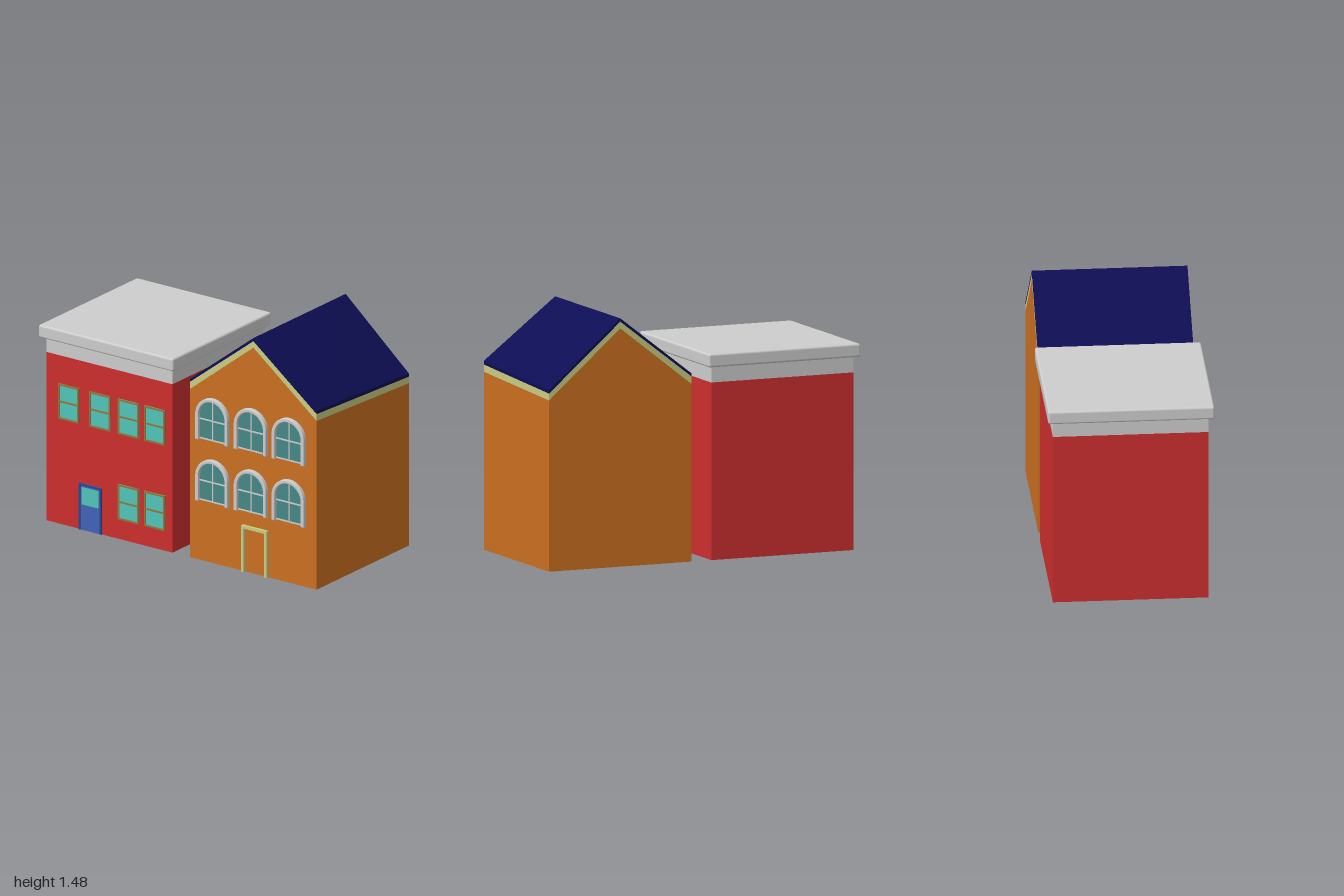
import * as THREE from 'three';
import { RoundedBoxGeometry } from 'three/addons/geometries/RoundedBoxGeometry.js';

const mat = (name, color) => {
  const m = new THREE.MeshStandardMaterial({ color });
  m.name = name;
  return m;
};

export function createModel() {
  const orange = mat('orange wall', 0xcb6f21);
  const red = mat('red wall', 0xcd2e2e);
  const grey = mat('pale grey stone', 0xcdcdcd);
  const cream = mat('khaki trim', 0xc9cc82);
  const navy = mat('navy roof', 0x0d0d54);
  const teal = mat('teal glass', 0x52c4ba);
  const darkTeal = mat('dark teal glass', 0x468888);
  const olive = mat('olive window frame', 0x8f7a3c);
  const blue = mat('blue door', 0x4062b8);
  const darkBlue = mat('dark blue door frame', 0x2c4590);

  const model = new THREE.Group();
  const W = 0.458; // half width of both houses

  const add = (parent, name, geometry, material) => {
    const mesh = new THREE.Mesh(geometry, material);
    mesh.name = name;
    parent.add(mesh);
    return mesh;
  };
  const group = (parent, name) => {
    const g = new THREE.Group();
    g.name = name;
    parent.add(g);
    return g;
  };

  // Gabled slab between two height rules: [back, ridge, front at -x, front at +x]
  const gable = (lo, hi) => {
    const Z = [0.08, 0.54, 1];
    const section = (x, f) => [
      [x, lo[0], Z[0]], [x, lo[1], Z[1]], [x, lo[f], Z[2]],
      [x, hi[f], Z[2]], [x, hi[1], Z[1]], [x, hi[0], Z[0]],
    ];
    const a = section(-W, 2), b = section(W, 3), pos = [];
    const quad = (p, q, r, s) => pos.push(...p, ...q, ...r, ...p, ...r, ...s);
    for (let i = 0; i < 6; i++) {
      const j = (i + 1) % 6;
      quad(a[i], b[i], b[j], a[j]);
    }
    quad(a[0], a[1], a[4], a[5]);
    quad(a[1], a[2], a[3], a[4]);
    quad(b[5], b[4], b[1], b[0]);
    quad(b[4], b[3], b[2], b[1]);
    const g = new THREE.BufferGeometry();
    g.setAttribute('position', new THREE.Float32BufferAttribute(pos, 3));
    g.computeVertexNormals();
    return g;
  };

  // Facade space: local x runs along world z, local z points out of the wall (-x)
  const facade = (parent) => {
    const g = group(parent, 'facade');
    g.rotation.y = -Math.PI / 2;
    g.position.x = -W;
    return g;
  };
  const plate = (parent, name, x0, x1, y0, y1, depth, material) => {
    const m = add(parent, name, new THREE.BoxGeometry(x1 - x0, y1 - y0, depth), material);
    m.position.set((x0 + x1) / 2, (y0 + y1) / 2, depth / 2);
  };
  const surround = (parent, name, x0, x1, y0, y1, t, depth, material, sill) => {
    plate(parent, name, x0, x0 + t, y0, y1, depth, material);
    plate(parent, name, x1 - t, x1, y0, y1, depth, material);
    plate(parent, name, x0 + t, x1 - t, y1 - t, y1, depth, material);
    if (sill) plate(parent, name, x0 + t, x1 - t, y0, y0 + t, depth, material);
  };

  // Orange gabled house
  const gabled = group(model, 'gabledHouse');
  const wallTop = [1.055, 1.415, 1.057, 1.017];
  const trimTop = [1.1, 1.455, 1.1, 1.058];
  const roofTop = [1.118, 1.475, 1.122, 1.078];
  add(gabled, 'gabledWalls', gable([0, 0, 0, 0], wallTop), orange);
  add(gabled, 'eaveTrim', gable(wallTop, trimTop), cream);
  add(gabled, 'gabledRoof', gable(trimTop, roofTop), navy);

  // Arched windows in two rows of three
  const gabledFace = facade(gabled);
  const R = 0.118, r = 0.1, spring = 0.15, bevel = 0.005;
  const archPath = (radius, base) => {
    const s = new THREE.Shape();
    s.moveTo(-radius, base);
    s.lineTo(radius, base);
    s.lineTo(radius, spring);
    s.absarc(0, spring, radius, 0, Math.PI, false);
    s.closePath();
    return s;
  };
  const band = new THREE.Shape();
  band.moveTo(r, 0);
  band.lineTo(R - bevel, 0);
  band.lineTo(R - bevel, spring);
  band.absarc(0, spring, R - bevel, 0, Math.PI, false);
  band.lineTo(bevel - R, 0);
  band.lineTo(-r, 0);
  band.lineTo(-r, spring);
  band.absarc(0, spring, r, Math.PI, 0, true);
  band.closePath();
  const frameGeo = new THREE.ExtrudeGeometry(band, {
    depth: 0.02, bevelSize: bevel, bevelThickness: bevel, bevelSegments: 2, curveSegments: 20,
  });
  const glassGeo = new THREE.ExtrudeGeometry(archPath(r, 0), {
    depth: 0.004, bevelEnabled: false, curveSegments: 20,
  });
  for (const y of [0.38, 0.765]) {
    for (const z of [0.25, 0.53, 0.805]) {
      const w = group(gabledFace, 'archedWindow');
      w.position.set(z, y, 0);
      add(w, 'archFrame', frameGeo, grey);
      add(w, 'archGlass', glassGeo, darkTeal);
      plate(w, 'verticalBar', -0.004, 0.004, 0, spring + r, 0.009, grey);
      plate(w, 'horizontalBar', -r, r, 0.121, 0.129, 0.009, grey);
      plate(w, 'bottomBar', -r, r, 0, 0.008, 0.009, grey);
    }
  }
  // Door surround
  surround(gabledFace, 'doorSurround', 0.465, 0.65, 0, 0.292, 0.018, 0.02, cream, false);

  // Red flat-roofed house
  const flat = group(model, 'flatHouse');
  const block = (name, y0, y1, material) => {
    const m = add(flat, name, new THREE.BoxGeometry(2 * W, y1 - y0, 0.917), material);
    m.position.set(0, (y0 + y1) / 2, -0.507);
  };
  block('flatHouseWalls', 0, 1.055, red);
  block('frieze', 1.055, 1.155, grey);
  const slab = add(flat, 'roofSlab', new RoundedBoxGeometry(0.98, 0.08, 0.98, 3, 0.013), grey);
  slab.position.set(-0.002, 1.188, -0.51);

  // Sash windows
  const flatFace = facade(flat);
  const sash = (z, y) => {
    const w = group(flatFace, 'sashWindow');
    w.position.set(z, y, 0);
    plate(w, 'sashGlass', 0, 0.15, 0, 0.22, 0.005, teal);
    surround(w, 'sashFrame', 0, 0.15, 0, 0.22, 0.011, 0.009, olive, true);
    plate(w, 'sashRail', 0.011, 0.139, 0.105, 0.116, 0.009, olive);
  };
  for (const z of [-0.875, -0.648, -0.44, -0.25]) sash(z, 0.66);
  for (const z of [-0.44, -0.25]) sash(z, 0.125);

  // Front door with a glazed upper panel
  plate(flatFace, 'doorPanel', -0.725, -0.56, 0, 0.29, 0.005, blue);
  surround(flatFace, 'doorFrame', -0.725, -0.56, 0, 0.29, 0.012, 0.009, darkBlue, false);
  plate(flatFace, 'doorGlass', -0.704, -0.581, 0.16, 0.268, 0.008, teal);

  return model;
}
